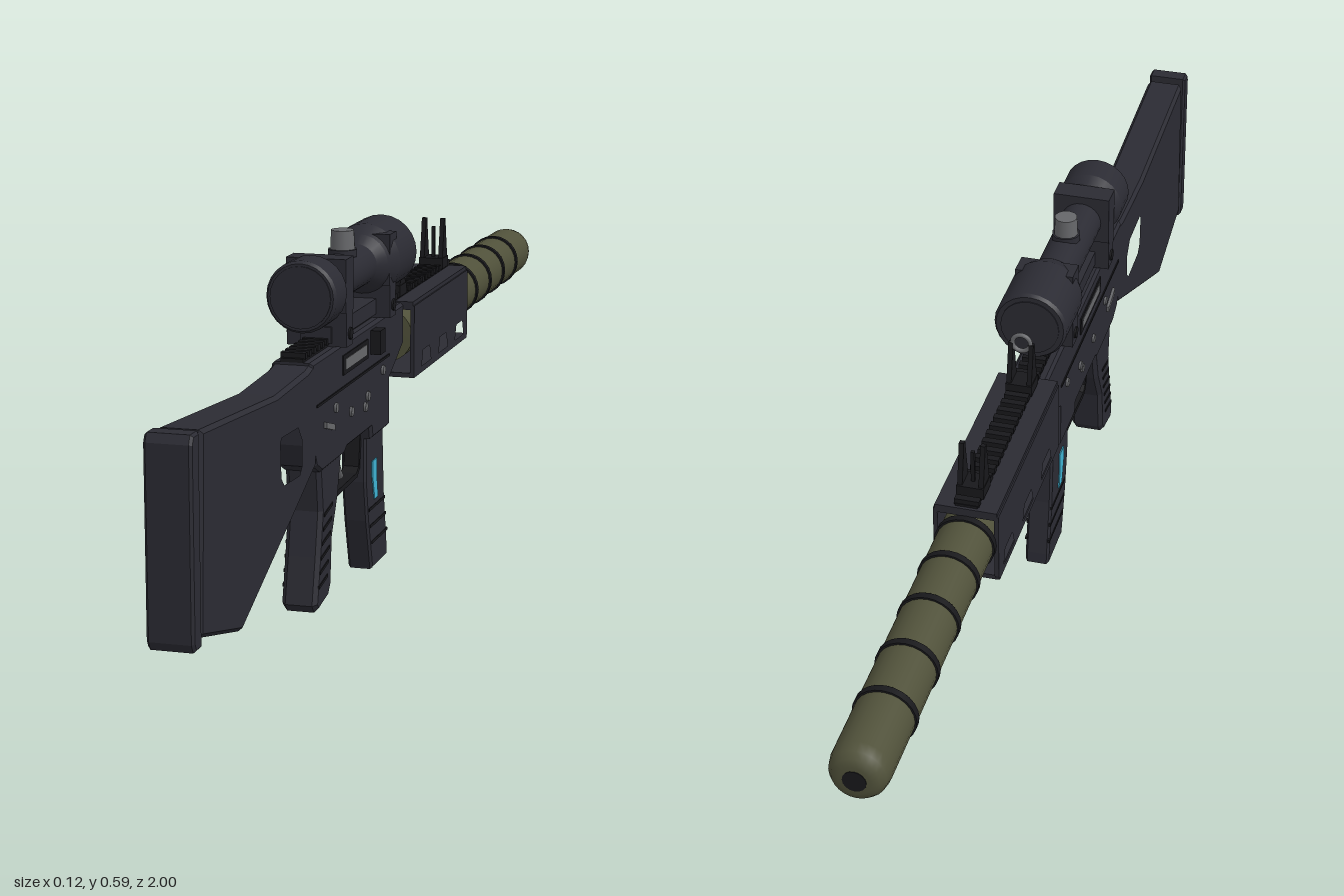
import * as THREE from 'three';

const mat = (name, color, side = THREE.FrontSide) => {
  const m = new THREE.MeshStandardMaterial({ color, side });
  m.name = name;
  return m;
};

export function createModel() {
  const root = new THREE.Group();
  const body = mat('dark body', 0x2b2b33);
  const black = mat('black trim', 0x18181b);
  const olive = mat('olive', 0x50513a);
  const gray = mat('gray metal', 0x66676a);
  const blue = mat('blue window', 0x3fb3d3);

  const add = (name, geo, m, x = 0, y = 0, z = 0) => {
    const mesh = new THREE.Mesh(geo, m);
    mesh.name = name;
    mesh.position.set(x, y, z);
    root.add(mesh);
    return mesh;
  };
  // box given by its ranges along z and y, centred at x
  const box = (name, m, w, y0, y1, z0, z1, x = 0) =>
    add(name, new THREE.BoxGeometry(w, y1 - y0, Math.abs(z1 - z0)), m, x, (y0 + y1) / 2, (z0 + z1) / 2);
  // side profile of [z, y] points extruded across x
  const slab = (name, m, w, pts, bevel = 0, holes = [], x = 0) => {
    const toV = p => new THREE.Vector2(p[0], p[1]);
    const shape = new THREE.Shape(pts.map(toV));
    holes.forEach(h => shape.holes.push(new THREE.Path(h.map(toV))));
    const geo = new THREE.ExtrudeGeometry(shape, {
      depth: w - 2 * bevel, bevelEnabled: bevel > 0, bevelSize: bevel,
      bevelOffset: -bevel, bevelThickness: bevel, bevelSegments: 1,
    });
    geo.translate(0, 0, -(w - 2 * bevel) / 2).rotateY(-Math.PI / 2);
    return add(name, geo, m, x);
  };
  // turned part along z from [radius, z] points, running from +z to -z
  const turned = (name, m, pts, y, sides = 24) => {
    const geo = new THREE.LatheGeometry(pts.map(p => new THREE.Vector2(p[0], -p[1])), sides);
    return add(name, geo.rotateX(-Math.PI / 2), m, 0, y);
  };
  // doubling the points keeps the turned edges crisp
  const crisp = pts => pts.flatMap((p, i) => (i && i < pts.length - 1 ? [p, [p[0], p[1] - 1e-4]] : [p]));

  // Stock with thumb hole, and butt pad
  slab('stock', body, 0.066, [
    [0.95, 0.44], [0.965, 0.15], [0.79, 0.107], [0.545, 0.214], [0.43, 0.265], [0.43, 0.43], [0.47, 0.422], [0.62, 0.416],
  ], 0.006, [[
    [0.605, 0.355], [0.615, 0.345], [0.612, 0.285], [0.595, 0.268], [0.515, 0.264], [0.498, 0.28], [0.498, 0.325], [0.52, 0.352],
  ]]);
  box('buttSpacer', black, 0.05, 0.17, 0.42, 0.945, 0.975);
  slab('buttPad', body, 0.07, [[0.967, 0.443], [0.993, 0.443], [1, 0.43], [1, 0.15], [0.993, 0.137], [0.967, 0.137]], 0.004);

  // Receiver
  slab('receiver', body, 0.066, [
    [0.45, 0.43], [0.45, 0.3], [0.43, 0.262], [0.4, 0.247], [0.28, 0.247], [0.265, 0.255], [0.125, 0.255],
    [0.12, 0.235], [0.015, 0.235], [0.015, 0.315], [-0.075, 0.36], [-0.075, 0.43],
  ], 0.005);
  for (const s of [1, -1]) {
    box('ejectionPort', gray, 0.006, 0.385, 0.403, 0.16, 0.28, s * 0.033);
    box('portFrame', black, 0.004, 0.378, 0.41, 0.15, 0.29, s * 0.033);
    slab('selectorLever', gray, 0.008, [[0.39, 0.325], [0.345, 0.312], [0.345, 0.302], [0.39, 0.315]], 0, [], s * 0.034);
    for (const [z, y] of [[0.245, 0.31], [0.165, 0.3], [0.15, 0.315], [0.33, 0.335], [0.06, 0.34]])
      add('pin', new THREE.CylinderGeometry(0.008, 0.008, 0.008, 10).rotateZ(Math.PI / 2), gray, s * 0.033, y, z);
    box('seam', black, 0.004, 0.356, 0.36, 0.02, 0.43, s * 0.033);
  }
  box('boltHandle', black, 0.02, 0.38, 0.42, 0.1, 0.13, 0.04);

  // Pistol grip with ribs
  slab('grip', body, 0.058, [
    [0.4, 0.255], [0.39, 0.18], [0.405, 0.11], [0.423, 0.035], [0.412, 0.022], [0.355, 0.032], [0.34, 0.05],
    [0.332, 0.125], [0.3, 0.185], [0.28, 0.255],
  ], 0.007);
  for (let i = 0; i < 6; i++) {
    const y = 0.06 + i * 0.022, z = 0.41 - i * 0.006;
    for (const s of [1, -1])
      slab('gripRib', black, 0.004, [[z, y], [z, y + 0.005], [z - 0.045, y + 0.013], [z - 0.045, y + 0.008]], 0, [], s * 0.0285);
  }

  // Trigger and guard
  slab('triggerGuard', black, 0.026, [
    [0.3, 0.25], [0.28, 0.178], [0.265, 0.17], [0.14, 0.174], [0.125, 0.186], [0.115, 0.25], [0.123, 0.25],
    [0.132, 0.19], [0.145, 0.182], [0.262, 0.179], [0.273, 0.188], [0.285, 0.25],
  ]);
  const curve = new THREE.QuadraticBezierCurve3(
    new THREE.Vector3(0, 0.26, 0.225), new THREE.Vector3(0, 0.215, 0.23), new THREE.Vector3(0, 0.19, 0.198));
  add('trigger', new THREE.TubeGeometry(curve, 10, 0.007, 8), gray);

  // Magazine with windows and ribs
  slab('magazine', body, 0.042, [
    [0.118, 0.26], [0.118, 0.16], [0.105, 0.09], [0.08, 0.002], [0.08, 0], [-0.015, 0], [-0.013, 0.02], [0.005, 0.12], [0.015, 0.26],
  ], 0.004);
  for (const s of [1, -1]) {
    slab('magazineWindow', blue, 0.006, [
      [0.082, 0.188], [0.082, 0.16], [0.07, 0.12], [0.05, 0.12], [0.056, 0.15], [0.056, 0.188],
    ], 0, [], s * 0.02);
    for (const [y, z] of [[0.105, 0.1], [0.075, 0.092], [0.045, 0.084]])
      slab('magazineRib', black, 0.004, [[z, y], [z, y + 0.005], [z - 0.095, y + 0.005], [z - 0.095, y]], 0, [], s * 0.02);
  }

  // Hollow handguard with slotted sides
  const slots = [-0.12, -0.235, -0.35].map(z => [
    [z, 0.311], [z - 0.062, 0.311], [z - 0.052, 0.338], [z - 0.01, 0.338],
  ]);
  for (const s of [1, -1])
    slab('handguardSide', body, 0.007, [[-0.07, 0.425], [-0.07, 0.3], [-0.435, 0.3], [-0.44, 0.31], [-0.44, 0.425]], 0, slots, s * 0.049);
  box('handguardTop', body, 0.1, 0.418, 0.432, -0.07, -0.44);
  box('handguardFloor', body, 0.1, 0.3, 0.308, -0.07, -0.436);

  // Top rail and its teeth
  box('rail', black, 0.036, 0.428, 0.436, 0.45, -0.435);
  for (let i = 0; i < 40; i++) box('railTooth', black, 0.04, 0.434, 0.444, 0.444 - i * 0.0222, 0.432 - i * 0.0222);

  // Suppressor with bands and bore
  turned('suppressor', olive, [
    [0, -0.08], [0.046, -0.08], [0.046, -0.081], [0.046, -0.44], [0.046, -0.968], [0.043, -0.985], [0.036, -0.995], [0.024, -1], [0, -1],
  ], 0.37);
  for (const z of [-0.445, -0.535, -0.64, -0.748, -0.855])
    turned('suppressorBand', black, crisp([[0.04, z + 0.006], [0.049, z + 0.006], [0.049, z - 0.006], [0.04, z - 0.006]]), 0.37);
  add('bore', new THREE.CylinderGeometry(0.018, 0.018, 0.004, 16).rotateX(Math.PI / 2), black, 0, 0.37, -0.999);

  // Folding sights
  const sight = (z, top) => {
    box('sightBase', black, 0.044, 0.436, 0.455, z - 0.02, z + 0.02);
    for (const s of [1, -1])
      slab('sightEar', black, 0.008, [
        [z + 0.018, 0.45], [z - 0.018, 0.45], [z - 0.008, 0.5], [z - 0.004, top], [z + 0.004, top], [z + 0.008, 0.5],
      ], 0, [], s * 0.017);
  };
  sight(-0.11, 0.525);
  sight(-0.395, 0.525);
  add('rearAperture', new THREE.TorusGeometry(0.015, 0.004, 8, 18), gray, 0, 0.525, -0.11);
  box('frontPost', black, 0.006, 0.45, 0.51, -0.392, -0.398);

  // Scope
  turned('scope', body, crisp([
    [0, 0.404], [0.053, 0.404], [0.057, 0.398], [0.057, 0.345], [0.05, 0.328], [0.035, 0.315],
    [0.035, 0.1], [0.048, 0.08], [0.061, 0.05], [0.061, -0.052], [0.057, -0.058], [0, -0.058],
  ]), 0.522);
  for (const [z, y] of [[0.4045, 0.522], [-0.0585, 0.522]])
    add('lens', new THREE.CylinderGeometry(0.049, 0.049, 0.003, 24).rotateX(Math.PI / 2), body, 0, y, z);
  add('turret', new THREE.CylinderGeometry(0.019, 0.021, 0.04, 12), gray, 0, 0.573, 0.178);
  add('turretCollar', new THREE.CylinderGeometry(0.024, 0.024, 0.012, 12), body, 0, 0.556, 0.178);

  // Scope mounts
  for (const z of [0.303, 0.052]) {
    box('mountRing', body, 0.098, 0.485, 0.57, z - 0.02, z + 0.02);
    box('mountFoot', body, 0.098, 0.43, 0.487, z - 0.017, z + 0.017);
    for (const s of [1, -1])
      add('mountScrew', new THREE.CylinderGeometry(0.01, 0.01, 0.006, 8).rotateZ(Math.PI / 2), black, s * 0.049, 0.45, z);
  }
  box('mountBar', body, 0.05, 0.436, 0.462, 0.03, 0.325);

  return root;
}
